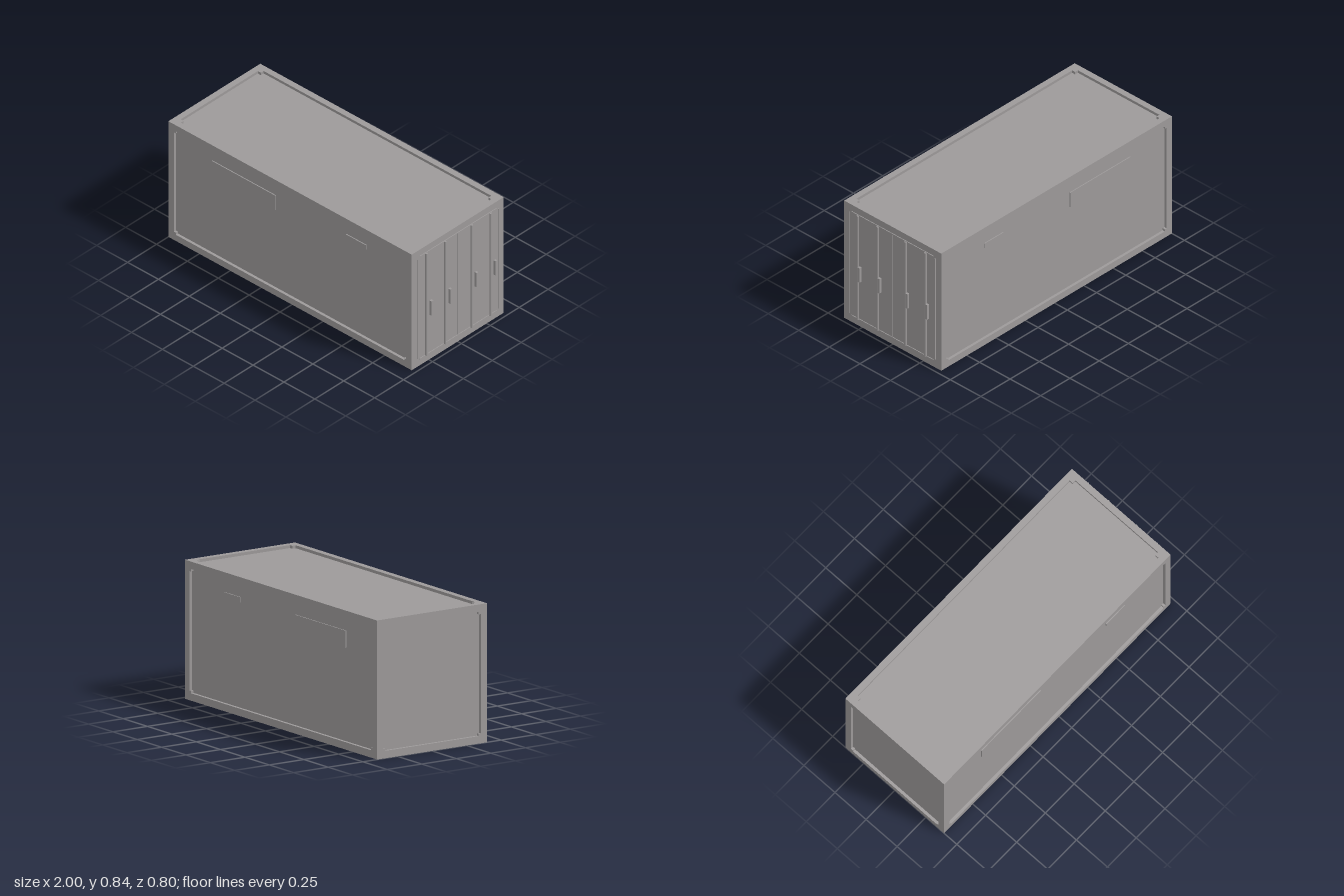
import * as THREE from 'three';

const X0 = -1, X1 = 0.97, H = 0.843, D = 0.795;   // container shell
const L = X1 - X0, CX = (X0 + X1) / 2, CY = H / 2;
const DEPTH = 0.018;                               // how far the panels sit back

export function createModel() {
  const model = new THREE.Group();
  model.name = 'shippingContainer';
  const grey = new THREE.MeshStandardMaterial({ color: 0x9d9a9a });
  grey.name = 'container grey';

  function add(name, geometry, x, y, z) {
    const mesh = new THREE.Mesh(geometry, grey);
    mesh.name = name;
    mesh.position.set(x, y, z);
    model.add(mesh);
    return mesh;
  }
  const box = (name, sx, sy, sz, x, y, z) =>
    add(name, new THREE.BoxGeometry(sx, sy, sz), x, y, z);

  // Rectangular border whose opening has a small square step in each corner
  function frameGeometry(w, h, inset, step) {
    const shape = new THREE.Shape([[-1, -1], [1, -1], [1, 1], [-1, 1]]
      .map(([sx, sy]) => new THREE.Vector2(sx * w / 2, sy * h / 2)));
    const a = w / 2 - inset, b = h / 2 - inset;
    shape.holes.push(new THREE.Path([
      [-a, -b + step], [-a, b - step], [-a + step, b - step], [-a + step, b],
      [a - step, b], [a - step, b - step], [a, b - step], [a, -b + step],
      [a - step, -b + step], [a - step, -b], [-a + step, -b], [-a + step, -b + step],
    ].map(([x, y]) => new THREE.Vector2(x, y))));
    const g = new THREE.ExtrudeGeometry(shape, { depth: DEPTH, bevelEnabled: false });
    return g.translate(0, 0, -DEPTH);
  }

  // Core supplies the recessed panels and the flat door end
  box('recessedPanels', L - DEPTH, H - 2 * DEPTH, D - 2 * DEPTH, CX + DEPTH / 2, CY, 0);

  // Borders around the recessed faces
  const side = frameGeometry(L, H, 0.045, 0.015);
  add('frontFrame', side, CX, CY, D / 2);
  add('backFrame', side, CX, CY, -D / 2).rotation.y = Math.PI;
  const roof = frameGeometry(L, D, 0.04, 0.024);
  add('roofFrame', roof, CX, H, 0).rotation.x = -Math.PI / 2;
  add('floorFrame', roof, CX, 0, 0).rotation.x = Math.PI / 2;
  add('endFrame', frameGeometry(D, H, 0.045, 0.015), X0, CY, 0).rotation.y = -Math.PI / 2;

  // Thin marking plates on both long sides
  const plate = 0.006;
  for (const s of [1, -1]) {
    const z = s * (D / 2 - DEPTH + plate / 2);
    box('largePlate', 0.515, 0.104, plate, -0.402, 0.664, z);
    box('smallPlate', 0.163, 0.033, plate, 0.506, 0.7, z);
  }

  // Door seams
  const seam = 0.005, sx = X1 + seam / 2;
  for (const y of [0.05, 0.795]) box('doorRail', seam, 0.006, 0.667, sx, y, 0);
  for (const z of [0.35, -0.35]) box('doorEdge', seam, 0.725, 0.005, sx, 0.4225, z);
  box('doorCentreSeam', seam, 0.739, 0.006, sx, 0.4225, 0);

  // Locking bars, each with a handle beside it
  const bar = new THREE.CylinderGeometry(0.008, 0.008, 0.745, 12);
  for (const z of [0.278, 0.115, -0.113, -0.276]) {
    add('lockingBar', bar, X1 + 0.008, 0.4225, z);
    box('lockHandle', 0.016, 0.104, 0.016, 0.992, 0.392, z - 0.027);
  }
  return model;
}
